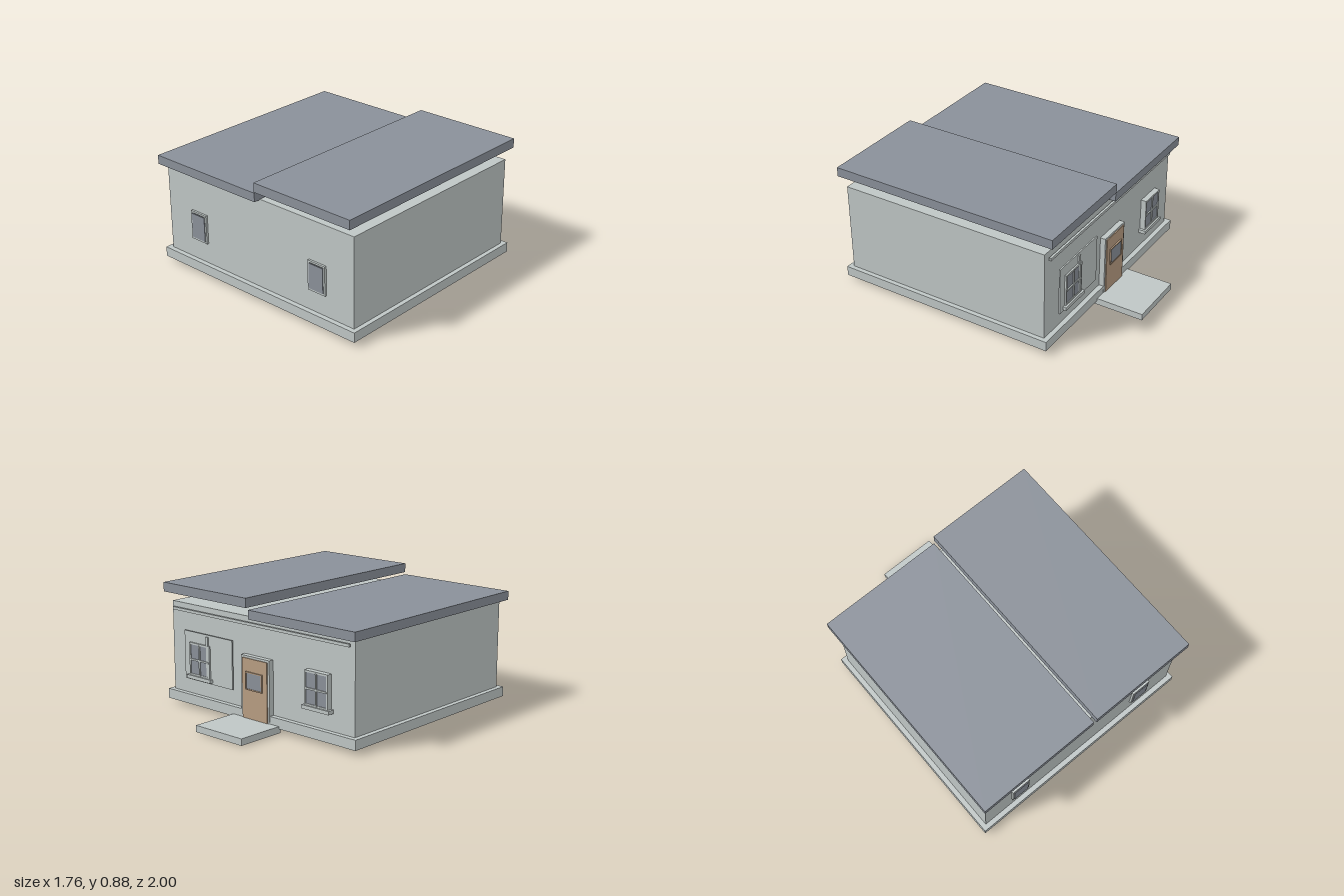
import * as THREE from 'three';

export function createModel() {
  const house = new THREE.Group();
  house.name = 'house';

  const paint = (name, color) => {
    const m = new THREE.MeshStandardMaterial({ color });
    m.name = name;
    return m;
  };
  const plaster = paint('pale plaster', 0xbfc6c5);
  const slate = paint('slate grey', 0x8a9099);
  const wood = paint('door wood', 0xb89d82);

  // Box given by its extents on each axis
  const box = (parent, name, mat, [x0, x1], [y0, y1], [z0, z1]) => {
    const mesh = new THREE.Mesh(new THREE.BoxGeometry(x1 - x0, y1 - y0, z1 - z0), mat);
    mesh.position.set((x0 + x1) / 2, (y0 + y1) / 2, (z0 + z1) / 2);
    mesh.name = name;
    parent.add(mesh);
    return mesh;
  };

  // Rectangular frame with an opening, extruded from z0 to z1
  const frame = (parent, name, mat, [x0, x1], [y0, y1], [z0, z1], t, tBottom = t) => {
    const shape = new THREE.Shape();
    shape.moveTo(x0, y0).lineTo(x1, y0).lineTo(x1, y1).lineTo(x0, y1).closePath();
    const hole = new THREE.Path();
    hole.moveTo(x0 + t, y0 + tBottom).lineTo(x0 + t, y1 - t);
    hole.lineTo(x1 - t, y1 - t).lineTo(x1 - t, y0 + tBottom).closePath();
    shape.holes.push(hole);
    const geo = new THREE.ExtrudeGeometry(shape, { depth: z1 - z0, bevelEnabled: false });
    const mesh = new THREE.Mesh(geo, mat);
    mesh.position.z = z0;
    mesh.name = name;
    parent.add(mesh);
  };

  // Main body
  box(house, 'foundation', plaster, [-0.875, 0.875], [0.03, 0.1], [-0.655, 0.975]);
  box(house, 'walls', plaster, [-0.84, 0.843], [0.1, 0.74], [-0.62, 0.94]);

  // Two flat roof slabs at different heights
  box(house, 'lowerRoof', slate, [-0.882, 0.042], [0.735, 0.798], [-0.675, 0.987]);
  box(house, 'upperRoof', slate, [0.052, 0.86], [0.812, 0.878], [-0.686, 1.0]);

  // Gutter under the eaves on the entrance side
  box(house, 'gutter', plaster, [-0.81, 0.81], [0.685, 0.705], [-0.648, -0.632]);

  // Small windows on the blank side
  for (const x of [-0.54, 0.54]) {
    const win = new THREE.Group();
    win.name = 'smallWindow';
    house.add(win);
    frame(win, 'windowFrame', plaster, [x - 0.073, x + 0.073], [0.25, 0.46], [0.94, 0.955], 0.013);
    box(win, 'windowGlass', slate, [x - 0.06, x + 0.06], [0.265, 0.443], [0.952, 0.96]);
  }

  // Paned windows with sills on the entrance side
  for (const x of [-0.545, 0.54]) {
    const win = new THREE.Group();
    win.name = 'panedWindow';
    house.add(win);
    frame(win, 'windowFrame', plaster, [x - 0.1, x + 0.1], [0.245, 0.48], [-0.66, -0.62], 0.013);
    box(win, 'windowGlass', slate, [x - 0.09, x + 0.09], [0.255, 0.47], [-0.655, -0.65]);
    box(win, 'verticalBar', plaster, [x - 0.006, x + 0.006], [0.25, 0.47], [-0.662, -0.654]);
    box(win, 'horizontalBar', plaster, [x - 0.09, x + 0.09], [0.354, 0.366], [-0.662, -0.654]);
    box(win, 'windowSill', plaster, [x - 0.118, x + 0.118], [0.222, 0.247], [-0.672, -0.62]);
  }

  // Wall panel behind one window, with its centre batten
  box(house, 'wallPanel', plaster, [0.227, 0.697], [0.21, 0.555], [-0.648, -0.638]);
  box(house, 'panelBatten', plaster, [0.455, 0.475], [0.24, 0.54], [-0.657, -0.648]);

  // Door with its frame and small window
  const entrance = new THREE.Group();
  entrance.name = 'entrance';
  house.add(entrance);
  frame(entrance, 'doorFrame', plaster, [-0.132, 0.132], [0.02, 0.48], [-0.658, -0.62], 0.017);
  box(entrance, 'door', wood, [-0.115, 0.115], [0.04, 0.465], [-0.665, -0.63]);
  frame(entrance, 'doorWindowFrame', wood, [-0.077, 0.077], [0.25, 0.375], [-0.675, -0.665], 0.008);
  box(entrance, 'doorGlass', slate, [-0.069, 0.069], [0.258, 0.367], [-0.671, -0.664]);

  // Entrance step
  box(house, 'step', plaster, [-0.212, 0.215], [0, 0.047], [-1.0, -0.637]);

  return house;
}
